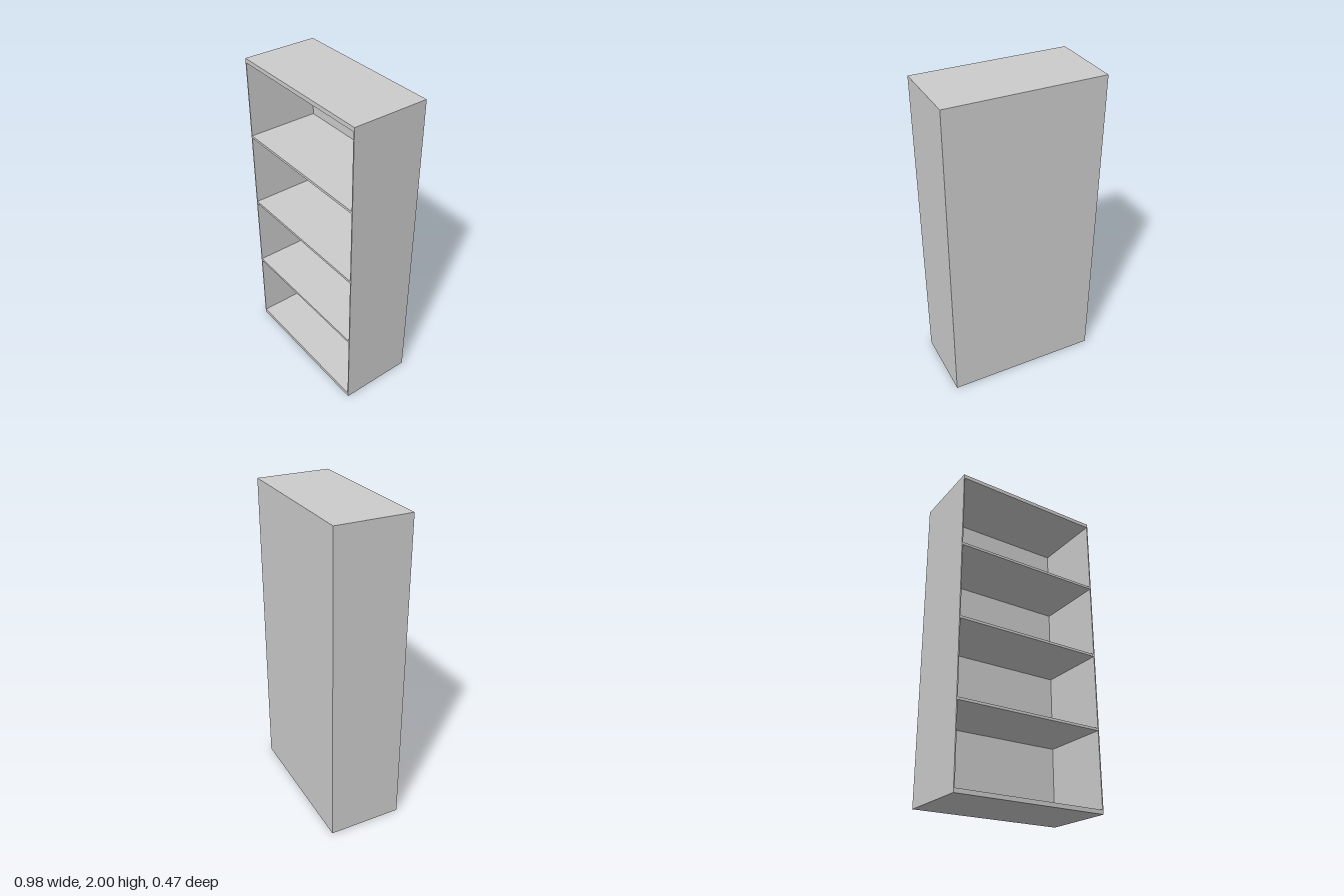
import * as THREE from 'three';

const W = 0.98, H = 2, D = 0.47;      // overall size
const SIDE = 0.007, BACK = 0.01;      // panel thicknesses
const CAP = 0.026, SHELF = 0.016;     // top/bottom boards and shelves
const BAYS = 4;

export function createModel() {
  const group = new THREE.Group();
  const material = new THREE.MeshStandardMaterial({ color: 0xcccccc });

  function board(name, w, h, d, x, y, z) {
    const mesh = new THREE.Mesh(new THREE.BoxGeometry(w, h, d), material);
    mesh.name = name;
    mesh.position.set(x, y, z);
    group.add(mesh);
  }

  const innerW = W - 2 * SIDE;
  const innerD = D - BACK;
  const innerZ = BACK / 2;

  // Side panels run the full height
  board('leftSide', SIDE, H, D, (W - SIDE) / 2, H / 2, 0);
  board('rightSide', SIDE, H, D, -(W - SIDE) / 2, H / 2, 0);

  // Top and bottom boards between the sides
  board('bottomBoard', innerW, CAP, D, 0, CAP / 2, 0);
  board('topBoard', innerW, CAP, D, 0, H - CAP / 2, 0);

  // Back panel closes the frame
  board('backPanel', innerW, H - 2 * CAP, BACK, 0, H / 2, -(D - BACK) / 2);

  // Evenly spaced shelves, flush with the front
  const bay = (H - 2 * CAP - (BAYS - 1) * SHELF) / BAYS;
  for (let i = 1; i < BAYS; i++) {
    const y = CAP + i * bay + (i - 0.5) * SHELF;
    board(`shelf${i}`, innerW, SHELF, innerD, 0, y, innerZ);
  }
  return group;
}
